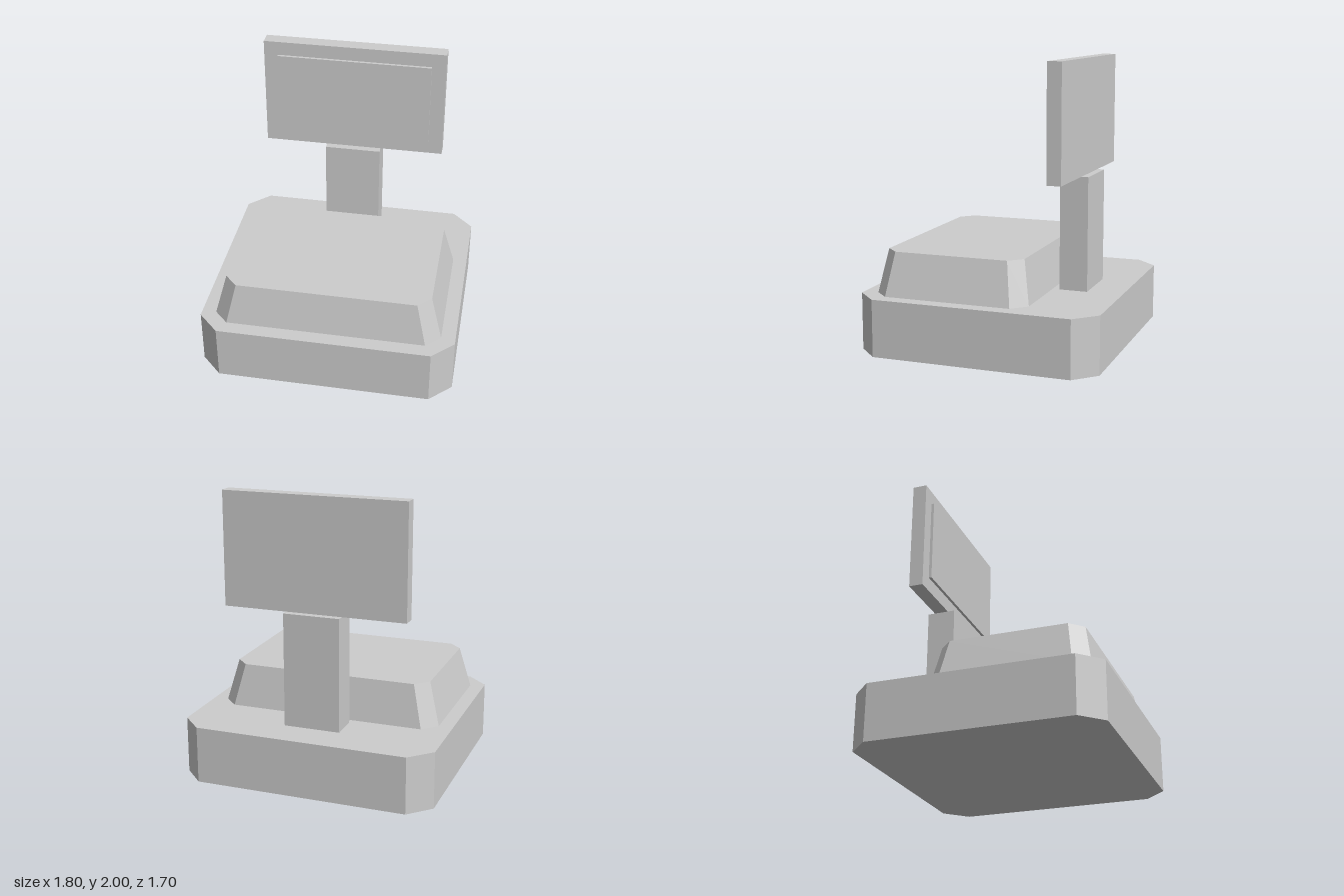
import * as THREE from 'three';

// Block with cut corners standing on y = 0; its top is scaled by taper.
function cutCornerBlock(halfX, halfZ, cut, height, taper = 1) {
  const shape = new THREE.Shape([
    [halfX, cut - halfZ], [halfX, halfZ - cut], [halfX - cut, halfZ], [cut - halfX, halfZ],
    [-halfX, halfZ - cut], [-halfX, cut - halfZ], [cut - halfX, -halfZ], [halfX - cut, -halfZ],
  ].map(([x, y]) => new THREE.Vector2(x, y)));
  const geometry = new THREE.ExtrudeGeometry(shape, { depth: height, bevelEnabled: false });
  geometry.rotateX(-Math.PI / 2);
  const p = geometry.attributes.position;
  for (let i = 0; i < p.count; i++) {
    if (p.getY(i) > height / 2) {
      p.setX(i, p.getX(i) * taper);
      p.setZ(i, p.getZ(i) * taper);
    }
  }
  geometry.computeVertexNormals();
  return geometry;
}

export function createModel() {
  const model = new THREE.Group();
  model.name = 'displayTerminal';

  const grey = new THREE.MeshStandardMaterial({ color: 0xcccccc });
  grey.name = 'grey';

  const add = (name, geometry, x, y, z) => {
    const mesh = new THREE.Mesh(geometry, grey);
    mesh.name = name;
    mesh.position.set(x, y, z);
    model.add(mesh);
  };

  // Base and the tapered housing on it
  add('base', cutCornerBlock(0.9, 0.85, 0.15, 0.4), 0, 0, 0);
  add('housing', cutCornerBlock(0.8, 0.55, 0.1, 0.3, 0.9), 0, 0.4, 0.2);

  // Post behind the housing, carrying the monitor
  add('post', new THREE.BoxGeometry(0.4, 0.8, 0.2), 0, 0.8, -0.5);
  add('monitor', new THREE.BoxGeometry(1.3, 0.8, 0.1), 0, 1.6, -0.5);
  add('screen', new THREE.BoxGeometry(1.1, 0.6, 0.02), 0, 1.6, -0.44);

  return model;
}
